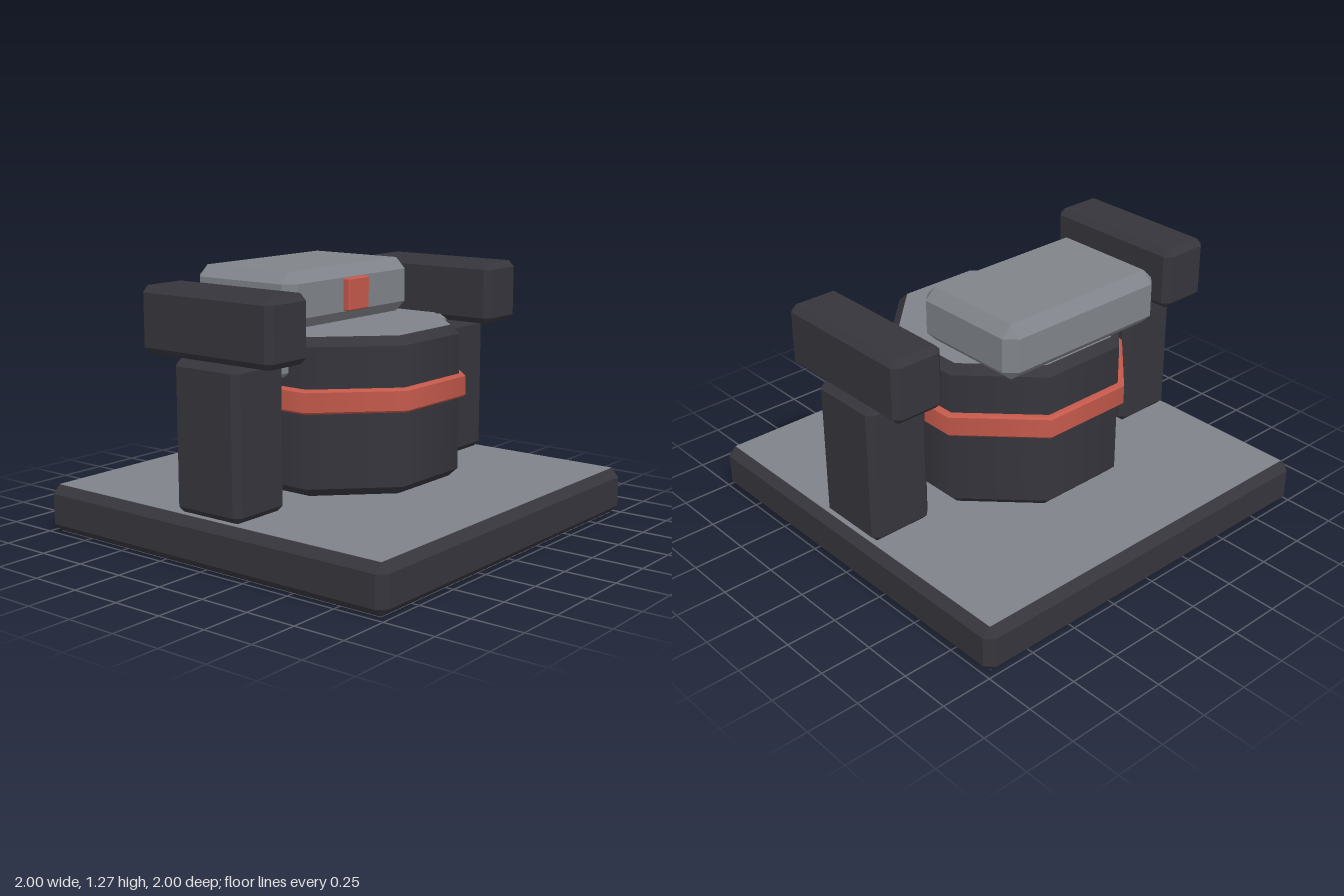
import * as THREE from 'three';
import { mergeGeometries } from 'three/addons/utils/BufferGeometryUtils.js';
import { ConvexGeometry } from 'three/addons/geometries/ConvexGeometry.js';

const material = (name, color) => {
  const m = new THREE.MeshStandardMaterial({ color });
  m.name = name;
  return m;
};

// Box with every edge cut by a flat chamfer c, given by its min and max corners
function chamferBox([x0, y0, z0], [x1, y1, z1], c) {
  const half = [(x1 - x0) / 2, (y1 - y0) / 2, (z1 - z0) / 2];
  const points = [];
  for (const sx of [-1, 1]) for (const sy of [-1, 1]) for (const sz of [-1, 1]) {
    for (let face = 0; face < 3; face++) {
      const p = half.map((h, i) => (i === face ? h : h - c));
      points.push(new THREE.Vector3(p[0] * sx, p[1] * sy, p[2] * sz));
    }
  }
  return new ConvexGeometry(points).translate((x0 + x1) / 2, (y0 + y1) / 2, (z0 + z1) / 2);
}

// Eight-sided turned solid, smooth round the sides and creased between rings;
// profile is [apothem, y] from bottom to top
function octagon(profile) {
  const points = profile.map(([a, y]) => new THREE.Vector2(a / Math.cos(Math.PI / 8), y));
  const rings = points.slice(1).map((p, i) => new THREE.LatheGeometry([points[i], p], 8, Math.PI / 8));
  return mergeGeometries(rings);
}

export function createModel() {
  const group = new THREE.Group();
  const dark = material('dark casing', 0x36353c);
  const grey = material('grey panel', 0x80828b);
  const metal = material('grey metal', 0x80848a);
  const red = material('red accent', 0xc4594b);
  const add = (name, geometry, mat) => {
    const mesh = new THREE.Mesh(geometry, mat);
    mesh.name = name;
    group.add(mesh);
  };

  // Square base with grey faces above and below, inside its chamfered rim
  add('base', chamferBox([-1, 0.002, -1], [1, 0.23, 1], 0.04), dark);
  add('baseDeck', new THREE.BoxGeometry(1.92, 0.004, 1.92).translate(0, 0.23, 0), grey);
  add('baseUnderside', new THREE.BoxGeometry(1.92, 0.004, 1.92).translate(0, 0.002, 0), grey);

  // Octagonal drum, its grey end faces and the band round it
  add('drum', octagon([[0.49, 0.27], [0.53, 0.31], [0.53, 0.96], [0.49, 1]]), dark);
  add('drumLid', octagon([[0.49, 1], [0, 1]]), grey);
  add('drumUnderside', octagon([[0, 0.27], [0.49, 0.27]]), grey);
  add('drumBand', octagon([[0.5, 0.66], [0.55, 0.66], [0.56, 0.67], [0.56, 0.76], [0.55, 0.77], [0.5, 0.77]]), red);

  // Head block set back on the drum, with a front indicator
  add('head', chamferBox([-0.463, 1.003, -0.538], [0.463, 1.27, 0.073], 0.053), metal);
  add('indicator', chamferBox([-0.077, 1.06, 0.05], [0.077, 1.215, 0.108], 0.006), red);

  // Side supports: pillar, top arm and the bar joining them to the drum
  for (const [side, s] of [['left', 1], ['right', -1]]) {
    const sided = (a, b, c) => chamferBox(
      [Math.min(a[0] * s, b[0] * s), a[1], a[2]], [Math.max(a[0] * s, b[0] * s), b[1], b[2]], c);
    add(side + 'Pillar', sided([0.635, 0.232, -0.19], [0.96, 0.925, 0.19], 0.03), dark);
    add(side + 'Arm', sided([0.695, 0.928, -0.382], [0.96, 1.233, 0.382], 0.03), dark);
    add(side + 'Bar', sided([0.42, 0.813, -0.115], [0.74, 0.96, 0.115], 0.02), metal);
  }
  return group;
}
